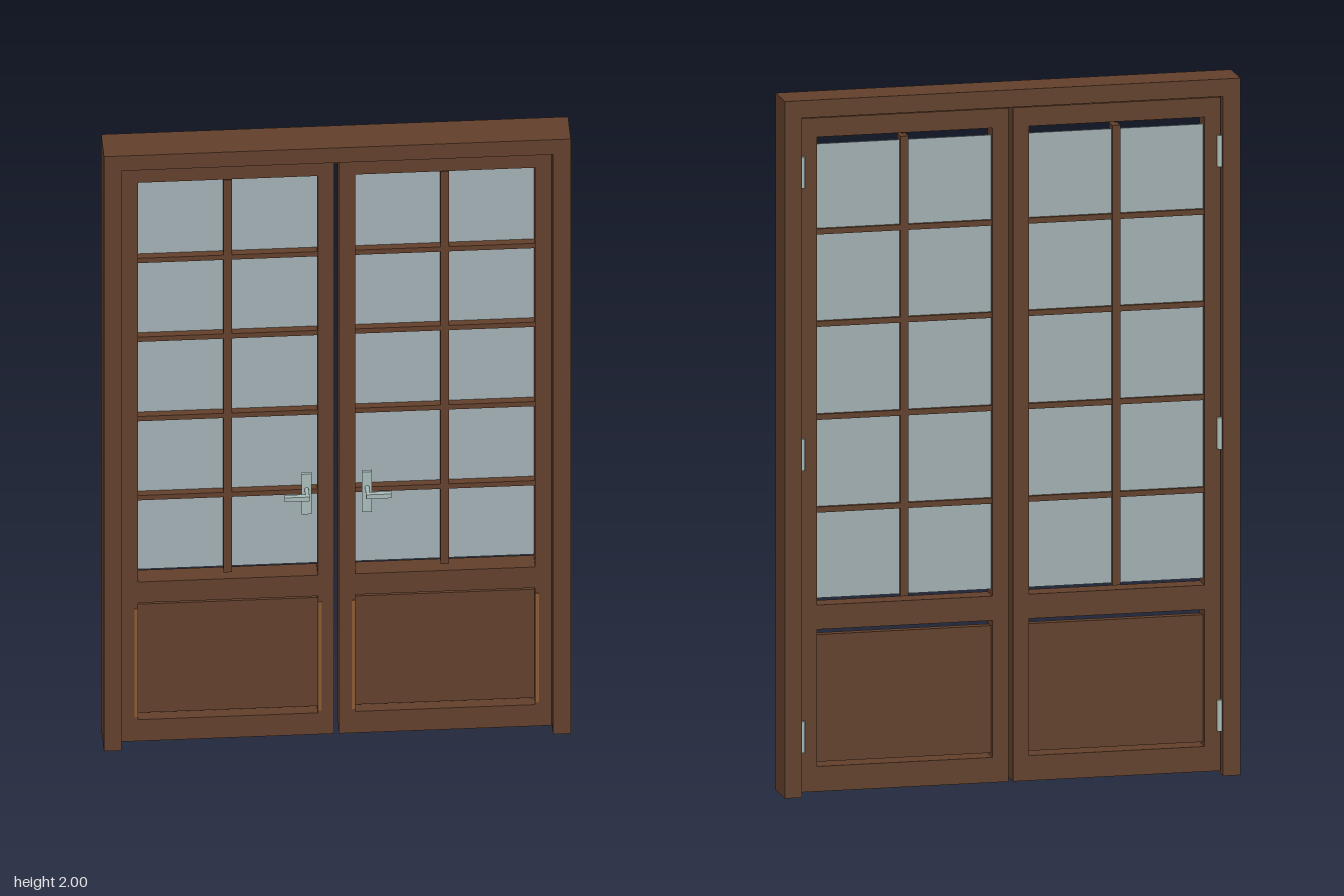
import * as THREE from 'three';

const mat = (name, color) => {
  const m = new THREE.MeshStandardMaterial({ color });
  m.name = name;
  return m;
};

export function createModel() {
  const wood = mat('brown wood', 0x62402b);
  const trim = mat('light wood trim', 0x8a5a34);
  const glass = mat('pane glass', 0xa2b0b3);
  const metal = mat('brushed metal', 0xa9bcba);

  const model = new THREE.Group();
  model.name = 'doubleDoor';

  // box given by its limits on each axis
  const box = (parent, name, material, [x0, x1], [y0, y1], [z0, z1]) => {
    const mesh = new THREE.Mesh(new THREE.BoxGeometry(Math.abs(x1 - x0), y1 - y0, z1 - z0), material);
    mesh.position.set((x0 + x1) / 2, (y0 + y1) / 2, (z0 + z1) / 2);
    mesh.name = name;
    parent.add(mesh);
  };

  // outer frame
  const frameZ = [-0.073, 0.04];
  box(model, 'header', wood, [-0.655, 0.655], [1.95, 2], frameZ);

  const leafZ = [-0.05, 0.01];
  const inner = [0.053, 0.557];
  for (const s of [-1, 1]) {
    const side = s > 0 ? 'left' : 'right';
    const X = ([a, b]) => [s * a, s * b];
    box(model, side + 'Jamb', wood, X([0.605, 0.655]), [0, 1.95], frameZ);

    const leaf = new THREE.Group();
    leaf.name = side + 'Leaf';
    model.add(leaf);

    // stiles and rails
    box(leaf, 'meetingStile', wood, X([0.007, 0.053]), [0.01, 1.943], leafZ);
    box(leaf, 'hingeStile', wood, X([0.557, 0.603]), [0.01, 1.943], leafZ);
    box(leaf, 'topRail', wood, X(inner), [1.888, 1.943], leafZ);
    box(leaf, 'lockRail', wood, X(inner), [0.475, 0.545], leafZ);
    box(leaf, 'bottomRail', wood, X(inner), [0.01, 0.082], leafZ);

    // lower panel with side strips
    box(leaf, 'lowerPanel', wood, X(inner), [0.092, 0.457], [-0.035, -0.01]);
    for (const x of [0.043, 0.558])
      box(leaf, 'panelTrim', trim, X([x, x + 0.009]), [0.092, 0.457], [-0.02, 0.013]);

    // glazing and its bars
    box(leaf, 'glassPane', glass, X(inner), [0.562, 1.865], [-0.035, -0.029]);
    box(leaf, 'verticalBar', wood, X([0.293, 0.316]), [0.557, 1.877], [-0.047, -0.004]);
    for (const y of [0.817, 1.083, 1.35, 1.615])
      box(leaf, 'horizontalBar', wood, X(inner), [y - 0.008, y + 0.008], [-0.045, -0.006]);

    // lever handle
    const handle = new THREE.Group();
    handle.name = 'handle';
    leaf.add(handle);
    box(handle, 'backplate', metal, X([0.071, 0.099]), [0.758, 0.893], [0.01, 0.02]);
    const shank = new THREE.Mesh(new THREE.CylinderGeometry(0.006, 0.006, 0.048, 12), metal);
    shank.name = 'shank';
    shank.rotation.x = Math.PI / 2;
    shank.position.set(s * 0.085, 0.842, 0.04);
    handle.add(shank);
    box(handle, 'lever', metal, X([0.079, 0.15]), [0.835, 0.849], [0.056, 0.07]);

    // hinges on the back
    for (const y of [0.17, 0.98, 1.79]) {
      const hinge = new THREE.Mesh(new THREE.CylinderGeometry(0.01, 0.01, 0.09, 12), metal);
      hinge.name = 'hinge';
      hinge.position.set(s * 0.602, y, -0.052);
      leaf.add(hinge);
    }
  }
  return model;
}
